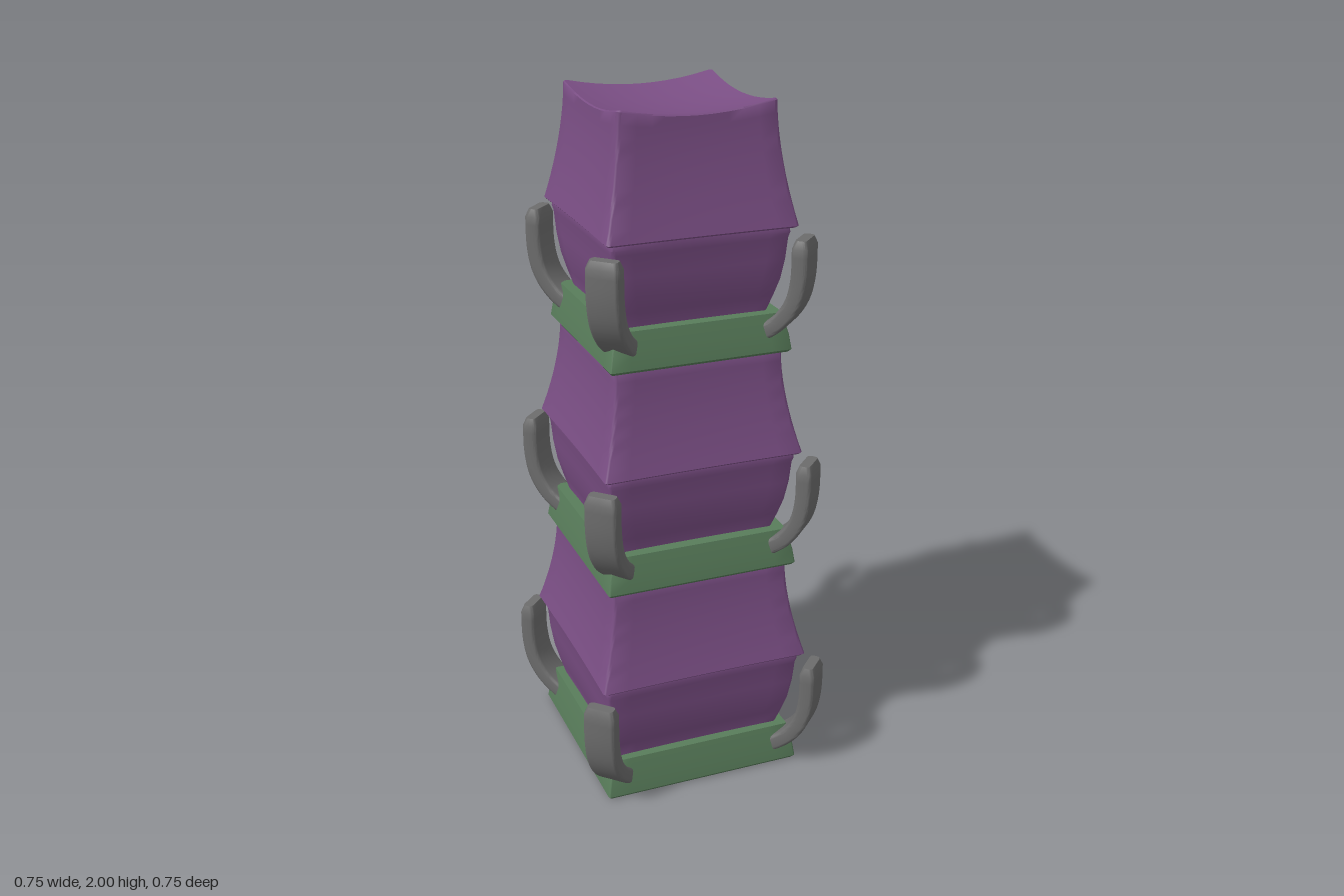
import * as THREE from 'three';
import { toCreasedNormals } from 'three/addons/utils/BufferGeometryUtils.js';

const purple = new THREE.MeshStandardMaterial({ color: 0x7a4e84 });
const green = new THREE.MeshStandardMaterial({ color: 0x587c5a });
const darkGrey = new THREE.MeshStandardMaterial({ color: 0x6c6c6c });

// Rounded rectangle outline as [p, q] pairs, with subdivided sides
function roundedRect(hp, hq, r, side = 10, corner = 4) {
  const pts = [];
  const centres = [[1, 1], [-1, 1], [-1, -1], [1, -1]];
  const arc = (k, a) => [
    centres[k][0] * (hp - r) + r * Math.cos(a),
    centres[k][1] * (hq - r) + r * Math.sin(a),
  ];
  for (let k = 0; k < 4; k++) {
    for (let i = 0; i <= corner; i++) pts.push(arc(k, (k + i / corner) * Math.PI / 2));
    const a = pts[pts.length - 1];
    const b = arc((k + 1) % 4, (k + 1) * Math.PI / 2);
    for (let i = 1; i < side; i++) {
      const t = i / side;
      pts.push([a[0] + (b[0] - a[0]) * t, a[1] + (b[1] - a[1]) * t]);
    }
  }
  return pts;
}

// Skin a list of equal rings of [x, y, z], optionally closing both ends
function loft(rings, caps = true) {
  const n = rings[0].length;
  const pos = rings.flat(2);
  const index = [];
  for (let i = 0; i < rings.length - 1; i++) {
    for (let j = 0; j < n; j++) {
      const a = i * n + j, b = i * n + (j + 1) % n;
      index.push(a, a + n, b, b, a + n, b + n);
    }
  }
  if (caps) {
    [rings[0], rings[rings.length - 1]].forEach((ring, end) => {
      const c = pos.length / 3;
      const start = end ? (rings.length - 1) * n : 0;
      for (let k = 0; k < 3; k++) pos.push(ring.reduce((s, p) => s + p[k], 0) / n);
      for (let j = 0; j < n; j++) {
        const a = start + j, b = start + (j + 1) % n;
        if (end) index.push(c, b, a); else index.push(c, a, b);
      }
    });
  }
  const g = new THREE.BufferGeometry();
  g.setAttribute('position', new THREE.Float32BufferAttribute(pos, 3));
  g.setIndex(index);
  return toCreasedNormals(g, 0.7);
}

// Horizontal square ring whose sides pinch in slightly between the corners
function squareRing(y, h, r = 0.012, bow = 0.015) {
  return roundedRect(h, h, Math.min(r, h * 0.4)).map(([x, z]) => [
    x * (1 - bow * (1 - (z / h) ** 2)), y, z * (1 - bow * (1 - (x / h) ** 2)),
  ]);
}

function mesh(name, geometry, material) {
  const m = new THREE.Mesh(geometry, material);
  m.name = name;
  return m;
}

// Flaring hollow frame under each tier
function baseFrame(h) {
  const profile = [
    [0.006, h - 0.05], [0, h - 0.044], [0, h - 0.006], [0.008, h], [0.05, h - 0.006],
    [0.115, h - 0.022], [0.115, h - 0.07], [0.006, h - 0.05],
  ];
  return loft(profile.map(([y, s]) => squareRing(y, s, 0.006, 0)), false);
}

// Curved lower bowl with a rolled lip and a narrow neck
function bowl(h) {
  const profile = [
    [0.035, h - 0.062], [0.11, h - 0.062], [0.16, h - 0.047], [0.21, h - 0.034],
    [0.27, h - 0.025], [0.335, h - 0.02], [0.35, h - 0.016], [0.362, h - 0.018],
    [0.366, h - 0.025], [0.385, h - 0.025],
  ];
  return loft(profile.map(([y, s]) => squareRing(y, s)));
}

// Concave tapering upper block; dish hollows the top and leaves raised corners
function upperBlock(h, top, height, dish) {
  const rings = [squareRing(0.366, h - 0.03), squareRing(0.366, h - 0.005), squareRing(0.371, h)];
  const steps = 10;
  const y0 = 0.371;
  for (let i = 1; i <= steps; i++) {
    const t = i / steps;
    const s = top + (h - top) * (1 - t) ** 1.7;
    rings.push(squareRing(y0 + (height - 0.005 - y0) * t, s));
  }
  for (const k of [0.985, 0.9, 0.75, 0.6, 0.45, 0.3, 0.15, 0.03]) {
    rings.push(squareRing(height, top * k));
  }
  // Sink vertices away from the corners, fading out down the walls
  for (const ring of rings) {
    for (const p of ring) {
      const w = Math.max(0, (p[1] - y0) / (height - y0)) ** 2;
      const sag = (v) => Math.max(0, 1 - (v / top) ** 2);
      p[1] -= dish * w * (sag(p[0]) + sag(p[2]));
    }
  }
  return loft(rings);
}

// Hooked corner bracket in a radial plane, rising from its buried tip
function claw(shift, lift) {
  const path = new THREE.CatmullRomCurve3([
    [0.3, 0.025], [0.36, 0.058], [0.412, 0.1], [0.447, 0.155], [0.463, 0.225], [0.465, 0.345],
  ].map(([r, y]) => new THREE.Vector3(r + shift, y * lift, 0)));
  const rings = [];
  const N = 26;
  for (let i = 0; i <= N; i++) {
    const t = i / N;
    const edge = Math.min(t, 1 - t) * N;
    const k = edge === 0 ? 0.008 : edge === 1 ? 0.001 : 0;
    const c = path.getPoint(t), d = path.getTangent(t);
    rings.push(roundedRect(0.023 - k, 0.048 - k, 0.01, 2, 3)
      .map(([p, q]) => [c.x + p * d.y, c.y - p * d.x, q]));
  }
  return loft(rings);
}

export function createModel() {
  const model = new THREE.Group();
  model.name = 'tieredTower';

  const tiers = [
    { y: 0, base: 0.3, h: 0.315, top: 0.265, height: 0.665, dish: 0, shift: 0, lift: 1 },
    { y: 0.66, base: 0.285, h: 0.293, top: 0.243, height: 0.655, dish: 0, shift: -0.033, lift: 0.96 },
    { y: 1.31, base: 0.263, h: 0.271, top: 0.222, height: 0.69, dish: 0.027, shift: -0.067, lift: 0.945 },
  ];

  for (const t of tiers) {
    const tier = new THREE.Group();
    tier.name = 'tier';
    tier.position.y = t.y;
    // Lower sections of the upper tiers are slightly shorter
    const squash = t.y === 0 ? 1 : 0.96;
    const frame = mesh('baseFrame', baseFrame(t.base), green);
    frame.scale.y = squash;
    const lower = mesh('lowerBowl', bowl(t.h), purple);
    lower.scale.y = squash;
    const upper = mesh('upperBlock', upperBlock(t.h, t.top, t.height / squash, t.dish), purple);
    upper.scale.y = squash;
    tier.add(frame, lower, upper);

    // Four corner claws
    const geometry = claw(t.shift, t.lift);
    for (let k = 0; k < 4; k++) {
      const c = mesh('cornerClaw', geometry, darkGrey);
      c.rotation.y = Math.PI / 4 + k * Math.PI / 2;
      tier.add(c);
    }
    model.add(tier);
  }
  return model;
}
